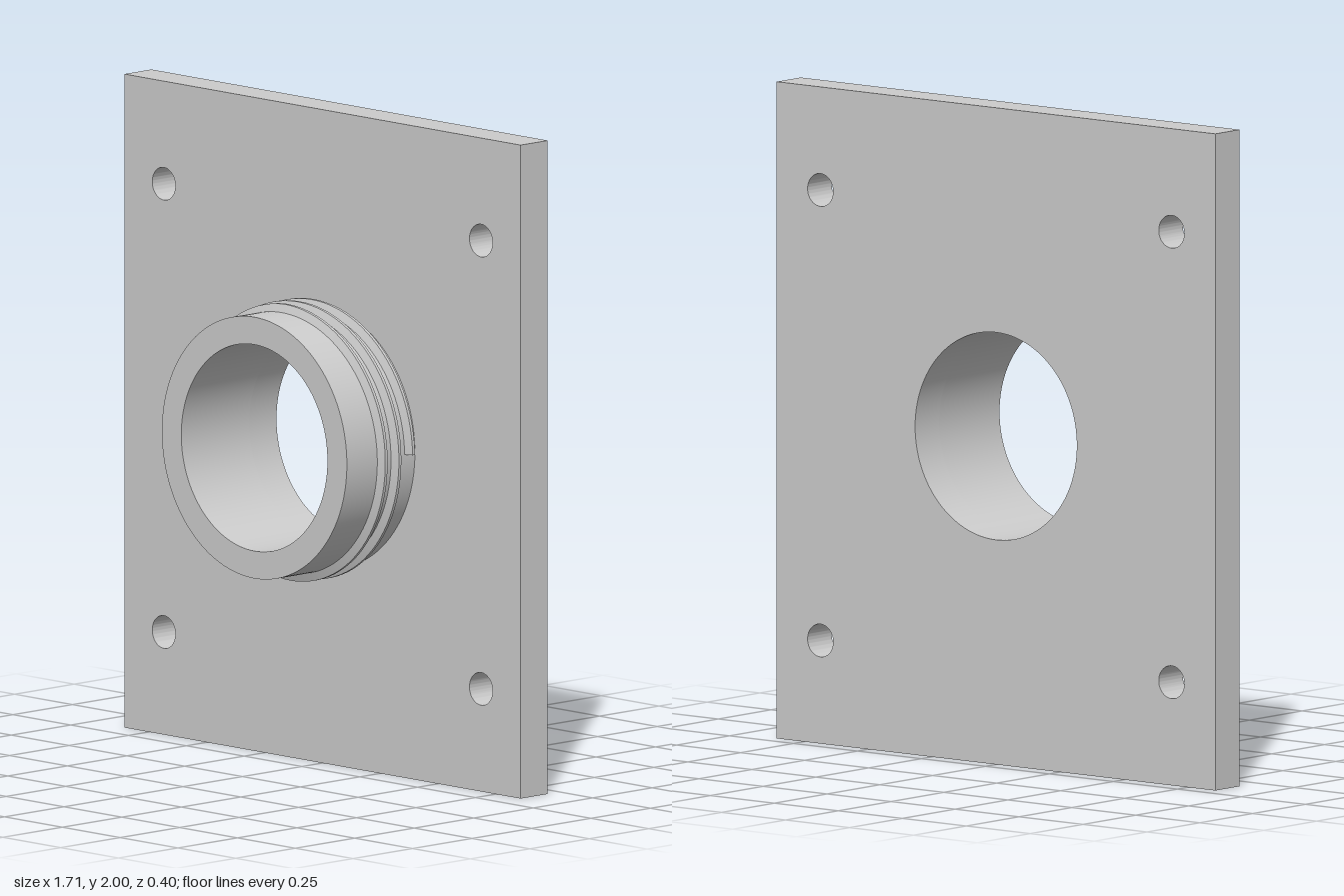
import * as THREE from 'three';
import { toCreasedNormals } from 'three/addons/utils/BufferGeometryUtils.js';

const CENTER_Y = 1;
const BORE = 0.316, COLLAR = 0.4, CREST = 0.425;
const BACK = -0.2, FACE = -0.086, RIM = 0.2;
const material = new THREE.MeshStandardMaterial({ color: 0xcccccc });

function addMesh(group, name, geometry) {
  const mesh = new THREE.Mesh(toCreasedNormals(geometry, 0.5), material);
  mesh.name = name;
  mesh.position.y = CENTER_Y;
  group.add(mesh);
}

const circle = (x, y, r) => new THREE.Path().absarc(x, y, r, 0, Math.PI * 2, true);

// Extrude a shape between two z planes
function slab(shape, z0, z1) {
  const geometry = new THREE.ExtrudeGeometry(shape, { depth: z1 - z0, bevelEnabled: false, curveSegments: 64 });
  return geometry.translate(0, 0, z0);
}

// Trapezoid section swept along a helix; blunt start, run-out at the end
function threadGeometry() {
  const turns = 2.5, pitch = 0.0575, startZ = -0.057, steps = 240;
  const positions = [], index = [];
  for (let i = 0; i <= steps; i++) {
    const turn = (turns * i) / steps;
    const a = turn * Math.PI * 2;
    const fade = Math.min(1, (turns - turn) / 0.25);
    const crest = COLLAR - 0.003 + (CREST - COLLAR + 0.003) * fade;
    const section = [[0.395, -0.016], [crest, -0.005], [crest, 0.005], [0.395, 0.016]];
    for (const [r, dz] of section) {
      positions.push(r * Math.cos(a), r * Math.sin(a), startZ + pitch * turn + dz * fade);
    }
    if (i < steps) {
      for (let j = 0; j < 3; j++) {
        const p = i * 4 + j, q = p + 4;
        index.push(p, q, p + 1, q, q + 1, p + 1);
      }
    }
  }
  index.push(0, 1, 2, 0, 2, 3); // blunt start face
  const geometry = new THREE.BufferGeometry();
  geometry.setAttribute('position', new THREE.Float32BufferAttribute(positions, 3));
  geometry.setIndex(index);
  return geometry;
}

export function createModel() {
  const model = new THREE.Group();
  model.name = 'threadedFlange';

  // Mounting plate with central bore and four screw holes
  const w = 0.857, h = 1, hole = 0.686;
  const plate = new THREE.Shape([[-w, -h], [w, -h], [w, h], [-w, h]].map(p => new THREE.Vector2(...p)));
  plate.holes.push(circle(0, 0, BORE));
  for (const x of [-hole, hole]) {
    for (const y of [-hole, hole]) plate.holes.push(circle(x, y, 0.05));
  }
  addMesh(model, 'mountingPlate', slab(plate, BACK, FACE));

  // Tubular collar on the front face
  const ring = new THREE.Shape().absarc(0, 0, COLLAR, 0, Math.PI * 2, false);
  ring.holes.push(circle(0, 0, BORE));
  addMesh(model, 'collar', slab(ring, FACE, RIM));

  // Screw thread around the collar
  addMesh(model, 'screwThread', threadGeometry());

  return model;
}
